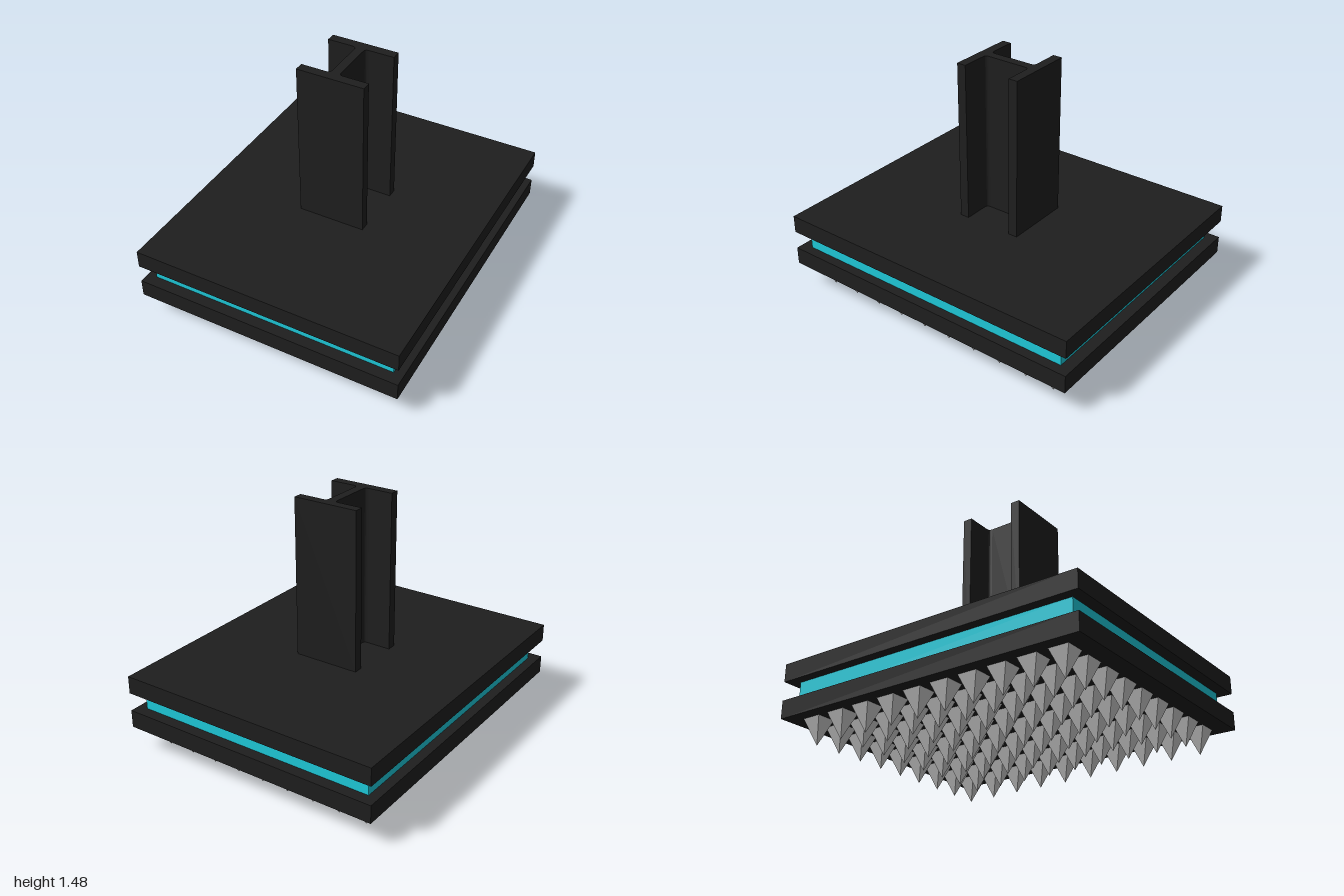
import * as THREE from 'three';

const black = new THREE.MeshStandardMaterial({ color: 0x1e1e1e });
const cyan = new THREE.MeshStandardMaterial({ color: 0x1ec9d9 });
const grey = new THREE.MeshStandardMaterial({ color: 0xcccccc, flatShading: true });

function slab(name, width, depth, bottom, top, material) {
  const mesh = new THREE.Mesh(new THREE.BoxGeometry(width, top - bottom, depth), material);
  mesh.position.y = (bottom + top) / 2;
  mesh.name = name;
  return mesh;
}

// I-section with small fillets where the web meets the flanges
function beamShape(half, inner, web, r) {
  const s = new THREE.Shape();
  s.moveTo(-half, -half);
  s.lineTo(half, -half);
  s.lineTo(half, -inner);
  s.lineTo(web + r, -inner);
  s.quadraticCurveTo(web, -inner, web, -inner + r);
  s.lineTo(web, inner - r);
  s.quadraticCurveTo(web, inner, web + r, inner);
  s.lineTo(half, inner);
  s.lineTo(half, half);
  s.lineTo(-half, half);
  s.lineTo(-half, inner);
  s.lineTo(-web - r, inner);
  s.quadraticCurveTo(-web, inner, -web, inner - r);
  s.lineTo(-web, -inner + r);
  s.quadraticCurveTo(-web, -inner, -web - r, -inner);
  s.lineTo(-half, -inner);
  s.closePath();
  return s;
}

export function createModel() {
  const model = new THREE.Group();
  model.name = 'spikedFoot';
  const plateBottom = 0.155, plateTop = 0.49;

  // Two steel plates with a pad between them
  model.add(slab('lowerPlate', 1.68, 2, plateBottom, 0.265, black));
  model.add(slab('pad', 1.56, 1.86, 0.265, 0.38, cyan));
  model.add(slab('upperPlate', 1.68, 2, 0.38, plateTop, black));

  // Upright beam
  const beamGeometry = new THREE.ExtrudeGeometry(beamShape(0.21, 0.152, 0.028, 0.025), {
    depth: 1.48 - plateTop, bevelEnabled: false, curveSegments: 5,
  });
  beamGeometry.rotateX(-Math.PI / 2);
  const beam = new THREE.Mesh(beamGeometry, black);
  beam.position.y = plateTop;
  beam.name = 'beam';
  model.add(beam);

  // Grid of square pyramids pointing down
  const spikes = new THREE.Group();
  spikes.name = 'spikes';
  const spikeGeometry = new THREE.ConeGeometry(0.06 * Math.SQRT2, plateBottom, 4);
  spikeGeometry.rotateY(Math.PI / 4);
  spikeGeometry.rotateX(Math.PI);
  const columns = 9, rows = 10;
  for (let i = 0; i < columns; i++) {
    for (let j = 0; j < rows; j++) {
      const spike = new THREE.Mesh(spikeGeometry, grey);
      spike.position.set(-0.705 + i * 0.176, plateBottom / 2, -0.834 + j * 0.185);
      spike.name = 'spike';
      spikes.add(spike);
    }
  }
  model.add(spikes);
  return model;
}
